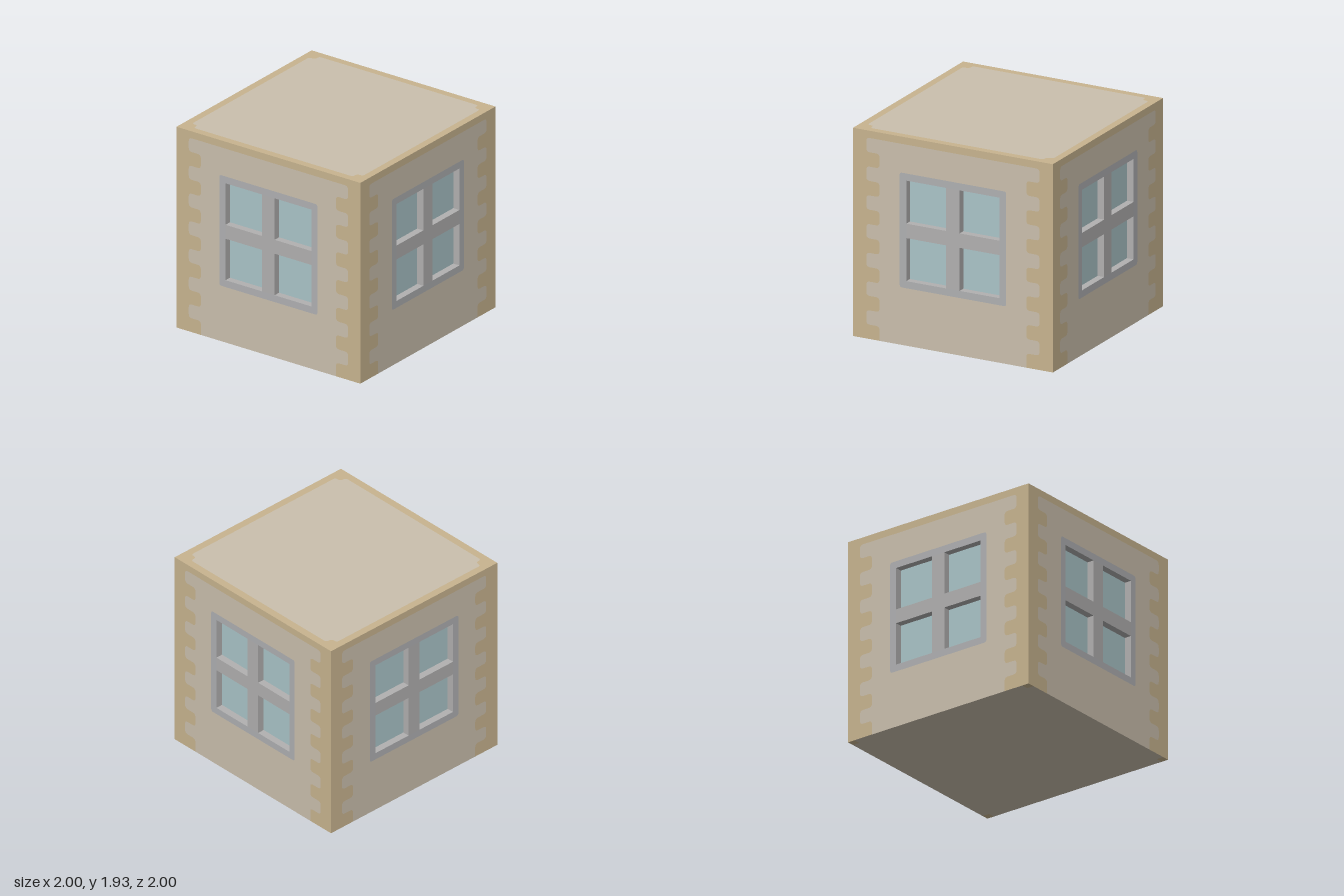
import * as THREE from 'three';

const H = 1.935, W = 1, MID = 1.067, DEPTH = 0.067;
const PANE = 0.4, STEP = 0.267, INNER = 0.467, OUTER = 0.533;

const material = (name, color) => Object.assign(new THREE.MeshStandardMaterial({ color }), { name });

// Closed path through corners [x, y, radius]
function roundedPath(corners, path = new THREE.Shape()) {
  const n = corners.length;
  corners.forEach(([x, y, r = 0], i) => {
    const p = new THREE.Vector2(x, y);
    const toward = (c) => new THREE.Vector2(c[0], c[1]).sub(p).setLength(r).add(p);
    const a = toward(corners[(i + n - 1) % n]), b = toward(corners[(i + 1) % n]);
    if (i === 0) path.moveTo(a.x, a.y); else path.lineTo(a.x, a.y);
    if (r > 0) path.quadraticCurveTo(x, y, b.x, b.y);
  });
  path.closePath();
  return path;
}

const rect = (x, y0, y1, r = 0) => [[-x, y0, r], [x, y0, r], [x, y1, r], [-x, y1, r]];

export function createModel() {
  const stone = material('sandstone', 0xc8b48f);
  const plaster = material('plaster', 0xcabfad);
  const border = material('window border', 0xafb0b2);
  const frame = material('window frame', 0xb1b0b0);
  const glass = material('glass', 0xaac4c8);

  function add(parent, name, geometry, mat, x = 0, y = 0, z = 0) {
    const mesh = new THREE.Mesh(geometry, mat);
    mesh.name = name;
    mesh.position.set(x, y, z);
    parent.add(mesh);
    return mesh;
  }
  const flat = (shape) => new THREE.ShapeGeometry(shape, 5);

  // Toothed edge between plaster and corner stones, right side going up
  const right = [[0.735, 0, 0]];
  for (let i = 0; i < 7; i++) {
    const y = 0.133 + i * STEP;
    right.push([0.735, y, 0.035], [0.867, y, 0.035]);
    right.push([0.867, y + 0.133, 0.035]);
    if (i < 6) right.push([0.735, y + 0.133, 0.035]);
  }
  const left = right.map(([x, y, r]) => [-x, y, r]).reverse();
  const edge = [...right, ...left];

  const plasterShape = roundedPath(edge);
  const frameOutline = rect(OUTER, MID - OUTER, MID + OUTER, 0.025);
  plasterShape.holes.push(roundedPath(frameOutline, new THREE.Path()));
  const stoneShape = roundedPath([...edge, [-W, 0], [-W, H], [W, H], [W, 0]]);
  const borderShape = roundedPath(frameOutline);
  borderShape.holes.push(roundedPath(rect(INNER, MID - INNER, MID + INNER), new THREE.Path()));

  const geo = {
    plaster: flat(plasterShape),
    stone: flat(stoneShape),
    border: flat(borderShape),
    mullion: new THREE.PlaneGeometry(2 * INNER - 2 * PANE, 2 * INNER),
    transom: new THREE.PlaneGeometry(PANE, 2 * INNER - 2 * PANE),
    pane: new THREE.PlaneGeometry(PANE, PANE),
    reveal: new THREE.PlaneGeometry(PANE, DEPTH)
      .rotateX(-Math.PI / 2).translate(0, -PANE / 2, -DEPTH / 2),
  };

  function makeWall(name) {
    const wall = new THREE.Group();
    wall.name = name;
    add(wall, 'cornerStones', geo.stone, stone, 0, 0, W);
    add(wall, 'plasterField', geo.plaster, plaster, 0, 0, W);
    add(wall, 'windowBorder', geo.border, border, 0, 0, W);
    add(wall, 'mullion', geo.mullion, frame, 0, MID, W);
    for (const sx of [-1, 1]) {
      const x = sx * 0.267;
      add(wall, 'transom', geo.transom, frame, x, MID, W);
      for (const sy of [-1, 1]) {
        const y = MID + sy * 0.267;
        add(wall, 'pane', geo.pane, glass, x, y, W - DEPTH);
        // Four inward-facing sides of the recess
        for (let k = 0; k < 4; k++) {
          add(wall, 'reveal', geo.reveal, frame, x, y, W).rotation.z = k * Math.PI / 2;
        }
      }
    }
    return wall;
  }

  const model = new THREE.Group();
  model.name = 'windowedBlock';
  ['frontWall', 'leftWall', 'backWall', 'rightWall'].forEach((name, i) => {
    const wall = makeWall(name);
    wall.rotation.y = i * Math.PI / 2;
    model.add(wall);
  });

  // Square panel with notched corners
  function notched(a, b, r) {
    const corners = [];
    for (const [sx, sy] of [[1, 1], [-1, 1], [-1, -1], [1, -1]]) {
      const steps = [[sx * a, sy * b, r], [sx * b, sy * b, r], [sx * b, sy * a, r]];
      corners.push(...(sx * sy > 0 ? steps : steps.reverse()));
    }
    return corners;
  }

  // Roof: stone rim around a plaster panel
  const roofPanel = notched(0.93, 0.867, 0.03);
  const rim = roundedPath(rect(W, -W, W));
  rim.holes.push(roundedPath(roofPanel, new THREE.Path()));
  add(model, 'roofRim', flat(rim).rotateX(-Math.PI / 2), stone, 0, H, 0);
  add(model, 'roofPanel', flat(roundedPath(roofPanel)).rotateX(-Math.PI / 2), plaster, 0, H, 0);

  // Underside: plaster with small stone corners
  const s = 0.07;
  add(model, 'underside', flat(roundedPath(notched(W, W - s, 0))).rotateX(Math.PI / 2), plaster);
  const cornerGeo = new THREE.PlaneGeometry(s, s).rotateX(Math.PI / 2);
  for (const x of [-1, 1]) for (const z of [-1, 1]) {
    add(model, 'undersideCorner', cornerGeo, stone, x * (W - s / 2), 0, z * (W - s / 2));
  }
  return model;
}
